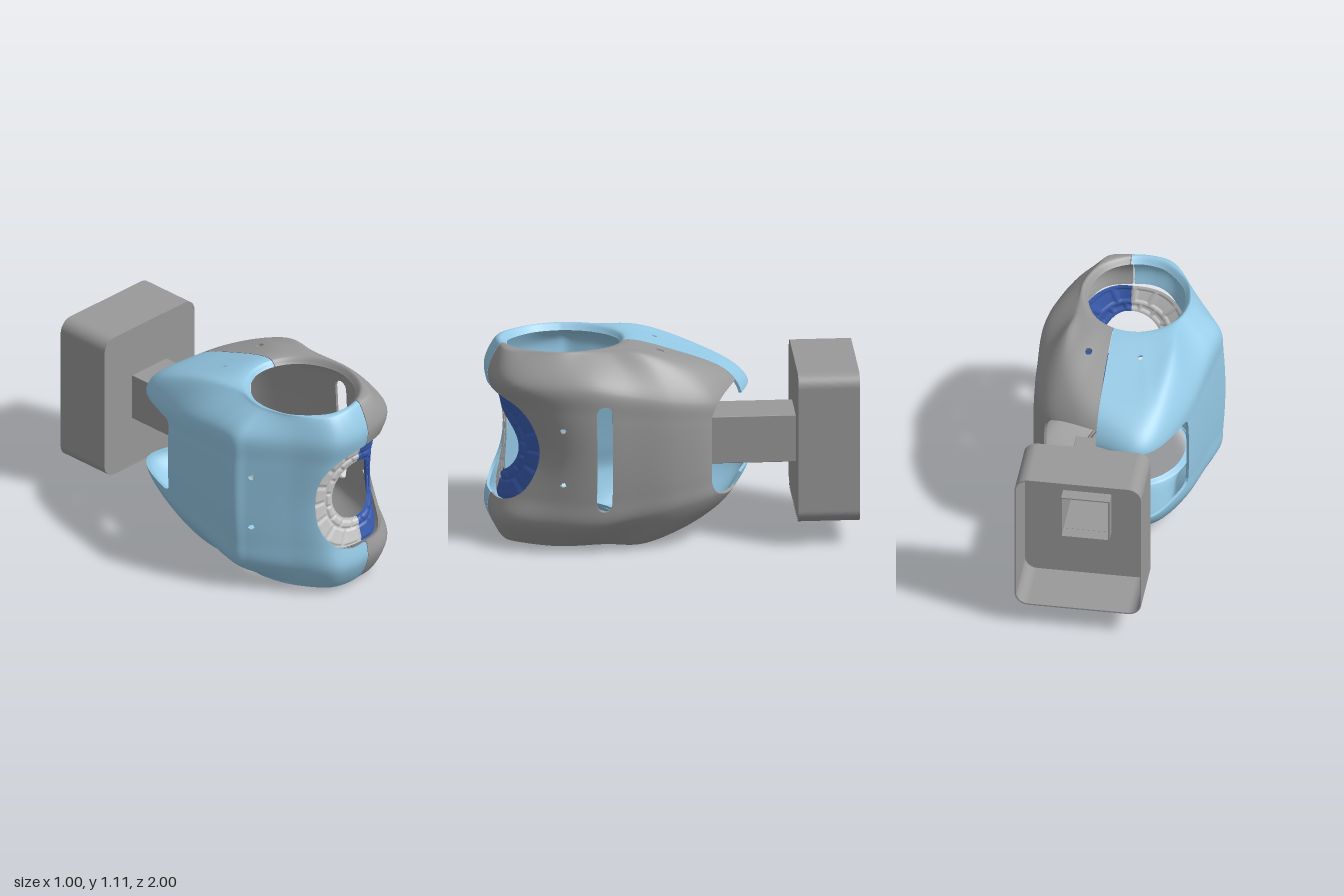
import * as THREE from 'three';

const MID = 0.557, SEAM = 0.07;
const V = (x, y, z) => new THREE.Vector3(x, y, z);
const clamp = (t) => Math.min(1, Math.max(0, t));
const lerp = THREE.MathUtils.lerp;
const mat = (color) => new THREE.MeshStandardMaterial({ color, side: THREE.DoubleSide });

// Grid of points closed in u, with a smooth normal at each point
function makeGrid(columns) {
  const n = columns.length, m = columns[0].length;
  return columns.map((col, i) => col.map((p, j) => {
    const du = columns[(i + 1) % n][j].clone().sub(columns[(i + n - 1) % n][j]);
    const dv = col[Math.min(j + 1, m - 1)].clone().sub(col[Math.max(j - 1, 0)]);
    return { p, n: du.cross(dv).normalize() };
  }));
}

// Thick skin over a grid, keeping only the region where keep(p) > 0; cut edges get a wall
function trimmedSkin(grid, keep, thick) {
  const pos = [], nor = [];
  const inner = (a) => a.p.clone().addScaledVector(a.n, -thick);
  const put = (p, n, s = 1) => { pos.push(p.x, p.y, p.z); nor.push(n.x * s, n.y * s, n.z * s); };
  const wall = (a, b) => {
    const a2 = inner(a), b2 = inner(b);
    const n = a2.clone().sub(a.p).cross(b.p.clone().sub(a.p)).normalize();
    [a.p, a2, b.p, b.p, a2, b2].forEach((p) => put(p, n));
  };
  const tri = (tv) => {
    const f = tv.map((a) => keep(a.p));
    if (f.every((t) => t <= 0)) return;
    const poly = [];
    let leave = null, enter = null;
    tv.forEach((a, i) => {
      const k = (i + 1) % 3, b = tv[k];
      if (f[i] > 0) poly.push(a);
      if ((f[i] > 0) !== (f[k] > 0)) {
        const t = f[i] / (f[i] - f[k]);
        const c = { p: a.p.clone().lerp(b.p, t), n: a.n.clone().lerp(b.n, t).normalize() };
        poly.push(c);
        if (f[i] > 0) leave = c; else enter = c;
      }
    });
    for (let i = 1; i < poly.length - 1; i++) {
      const t = [poly[0], poly[i], poly[i + 1]];
      t.forEach((a) => put(a.p, a.n));
      t.reverse().forEach((a) => put(inner(a), a.n, -1));
    }
    if (leave) wall(leave, enter);
  };
  grid.forEach((col, i) => {
    const next = grid[(i + 1) % grid.length];
    for (let j = 0; j < col.length - 1; j++) {
      tri([col[j], next[j], next[j + 1]]);
      tri([col[j], next[j + 1], col[j + 1]]);
    }
  });
  const g = new THREE.BufferGeometry();
  g.setAttribute('position', new THREE.Float32BufferAttribute(pos, 3));
  g.setAttribute('normal', new THREE.Float32BufferAttribute(nor, 3));
  return g;
}

// Plan stations from the front round by +x: shoulder x, z; waist x, z; shoulder inset
const STATIONS = [
  [0.07, 0.99, 0.07, 0.94, 0.06], [0.23, 0.96, 0.22, 0.865, 0.07], [0.35, 0.87, 0.335, 0.73, 0.12],
  [0.45, 0.65, 0.445, 0.59, 0.18], [0.49, 0.45, 0.495, 0.43, 0.2], [0.485, 0.22, 0.49, 0.22, 0.21],
  [0.465, 0, 0.465, 0, 0.21], [0.38, -0.2, 0.38, -0.2, 0.17], [0.22, -0.32, 0.22, -0.32, 0.1],
  [0.07, -0.38, 0.07, -0.38, 0.08], [-0.16, -0.43, -0.16, -0.43, 0.08], [-0.26, -0.37, -0.26, -0.37, 0.1],
  [-0.4, -0.05, -0.4, -0.05, 0.18], [-0.452, 0.25, -0.452, 0.25, 0.19], [-0.478, 0.4, -0.478, 0.4, 0.19],
  [-0.493, 0.52, -0.5, 0.53, 0.19], [-0.455, 0.59, -0.455, 0.59, 0.17],
  [-0.33, 0.77, -0.33, 0.755, 0.1], [-0.18, 0.97, -0.2, 0.91, 0.06], [-0.06, 1, -0.06, 0.95, 0.06],
];

const topHeight = (x, z) => {
  const d = Math.max(0, 0.2 - z);
  return 1.095 + 0.05 * x - 0.4 * d * d / (d + 0.08);
};

// Body surface: layers from the waist over the shoulder to the top hole, mirrored below
function bodyGrid() {
  const layers = Array.from({ length: 7 }, () => []);
  for (const [x, z, mx, mz, inset] of STATIONS) {
    const sy = 0.95 - 0.155 * clamp((0.45 - z) / 0.85);
    const s = V(x * 0.955, sy, z);
    const a = Math.atan2(z - 0.575, x + 0.01);
    const r = 1 / Math.hypot(Math.cos(a) / 0.262, Math.sin(a) / 0.305);
    const hole = (k) => V(-0.01 + r * k * Math.cos(a), 0, 0.575 + r * k * Math.sin(a));
    const onTop = (p, drop = 0) => p.setY(topHeight(p.x, p.z) - drop);
    const rim = hole(1.1), dir = rim.clone().setY(0).sub(V(s.x, 0, s.z));
    const shoulder = s.clone().addScaledVector(dir, Math.min(0.85, inset / dir.length()));
    layers[0].push(V(mx, MID, mz));
    layers[1].push(V(lerp(mx, x, 0.5) * 0.988, lerp(MID, sy, 0.62), lerp(mz, z, 0.5)));
    layers[2].push(s);
    layers[3].push(onTop(shoulder, 0.012));
    layers[4].push(onTop(shoulder.clone().lerp(rim, 0.5)));
    layers[5].push(onTop(rim));
    layers[6].push(onTop(hole(1), 0.03));
  }
  const curves = layers.map((pts) => new THREE.CatmullRomCurve3(pts, true));
  const N = 240, M = 96, cols = [];
  for (let i = 0; i < N; i++) {
    const up = curves.map((c) => c.getPoint(i / N));
    const down = up.slice(1).reverse().map((p) => V(p.x, 2 * MID - p.y, p.z));
    const col = new THREE.CatmullRomCurve3([...down, ...up]);
    cols.push(Array.from({ length: M + 1 }, (_, j) => col.getPoint(j / M)));
  }
  return makeGrid(cols);
}

// Rounded front window, tighter corners on +x
const windowRadius = (dx, dy) => {
  const n = dx > 0 ? 4.5 : 2.8;
  return (Math.abs(dx / 0.283) ** n + Math.abs(dy / 0.3) ** n) ** (1 / n);
};
const roundedBox = (a, b, r) =>
  Math.hypot(Math.max(a + r, 0), Math.max(b + r, 0)) + Math.min(Math.max(a + r, b + r), 0) - r;

// Openings of the body: window, rear notch, side slot, screw holes
function bodyKeep(p, side) {
  const dy = Math.abs(p.y - MID);
  let f = side * (p.x - SEAM) - 0.002;
  if (p.z > 0.45) f = Math.min(f, (windowRadius(p.x - 0.053, p.y - MID) - 1) * 0.28);
  if (p.z < 0.2) {
    f = Math.min(f, side > 0 ? roundedBox(p.z + 0.2, dy - 0.3, 0.14) : roundedBox(p.z + 0.07, dy - 0.222, 0.04));
    if (dy > 0.35) f = Math.min(f, Math.hypot(p.x - (side > 0 ? 0.175 : -0.11), p.z - 0.065) - 0.022);
  }
  if (p.x > 0.3) f = Math.min(f, Math.hypot(p.z - 0.387, Math.max(0, dy - 0.257)) - 0.043);
  if (Math.abs(p.x) > 0.36) f = Math.min(f, Math.hypot(p.z - 0.61, dy - 0.15) - 0.018);
  return f;
}

// Saddle-shaped liner in the window, with raised pads between grooves
function linerGrid() {
  const N = 192, M = 28, cols = [];
  const bump = (t, a, b) => clamp((t - a) / 0.05) * clamp((b - t) / 0.05);
  for (let i = 0; i < N; i++) {
    const a = -2 * Math.PI * i / N, c = Math.cos(a), s = Math.sin(a), col = [];
    const R = 1.03 / windowRadius(c, s);
    for (let j = 0; j <= M; j++) {
      const t = j / M;
      const x = lerp(0.065 + 0.167 * c, 0.053 + R * c, t), y = lerp(0.17 * s, R * s, t);
      const cell = (i / N * 16 + (t < 0.35 ? 0.5 : 0)) % 1;
      const pad = (bump(t, 0.08, 0.33) + bump(t, 0.38, 0.93)) * clamp(Math.min(cell, 1 - cell) * 12 - 0.5);
      const z = 0.892 + 0.045 * (y / 0.3) ** 2 - 0.18 * clamp((x - 0.1) / 0.235) ** 2
        - 0.02 * clamp((0.05 - x) / 0.28) ** 2;
      col.push(V(x, MID + y, z + 0.008 * pad));
    }
    cols.push(col);
  }
  return makeGrid(cols);
}

function roundRect(path, w, h, r) {
  const x = w / 2, y = h / 2;
  path.moveTo(-x + r, -y).lineTo(x - r, -y).absarc(x - r, -y + r, r, -Math.PI / 2, 0)
    .lineTo(x, y - r).absarc(x - r, y - r, r, 0, Math.PI / 2)
    .lineTo(-x + r, y).absarc(-x + r, y - r, r, Math.PI / 2, Math.PI)
    .lineTo(-x, -y + r).absarc(-x + r, -y + r, r, Math.PI, Math.PI * 1.5);
  return path;
}

// Rectangular ring extruded along z
function frame(w, h, r, iw, ih, ir, z0, z1) {
  const s = roundRect(new THREE.Shape(), w, h, r);
  s.holes.push(roundRect(new THREE.Path(), iw, ih, ir));
  return new THREE.ExtrudeGeometry(s, { depth: z1 - z0, bevelEnabled: false, curveSegments: 10 })
    .translate(SEAM, MID, z0);
}

export function createModel() {
  const group = new THREE.Group();
  const grey = mat(0x999999), blue = mat(0x94c8e4), pale = mat(0xcccccc), navy = mat(0x3a5db0);
  const add = (name, geo, material) => {
    const mesh = new THREE.Mesh(geo, material);
    mesh.name = name;
    group.add(mesh);
    return mesh;
  };

  // Two body halves
  const body = bodyGrid();
  add('leftShell', trimmedSkin(body, (p) => bodyKeep(p, 1), 0.016), grey);
  add('rightShell', trimmedSkin(body, (p) => bodyKeep(p, -1), 0.016), blue);

  // Two liner halves
  const liner = linerGrid();
  add('leftLiner', trimmedSkin(liner, (p) => p.x - SEAM, 0.012), navy);
  add('rightLiner', trimmedSkin(liner, (p) => SEAM - p.x, 0.012), pale);

  // Pegs inside the right half
  for (const s of [-1, 1]) {
    const peg = add('peg', new THREE.CylinderGeometry(0.016, 0.016, 0.23, 16), blue);
    peg.rotation.z = Math.PI / 2;
    peg.position.set(-0.3, MID + s * 0.15, 0.615);
  }

  // Rear housing: open box, front plate and square neck
  add('housingWall', frame(0.692, 0.845, 0.075, 0.676, 0.829, 0.067, -1, -0.667), grey);
  add('housingPlate', frame(0.68, 0.833, 0.07, 0.25, 0.25, 0.003, -0.68, -0.668), grey);
  add('neck', frame(0.266, 0.266, 0.004, 0.252, 0.252, 0.003, -0.75, -0.2), grey);
  return group;
}
